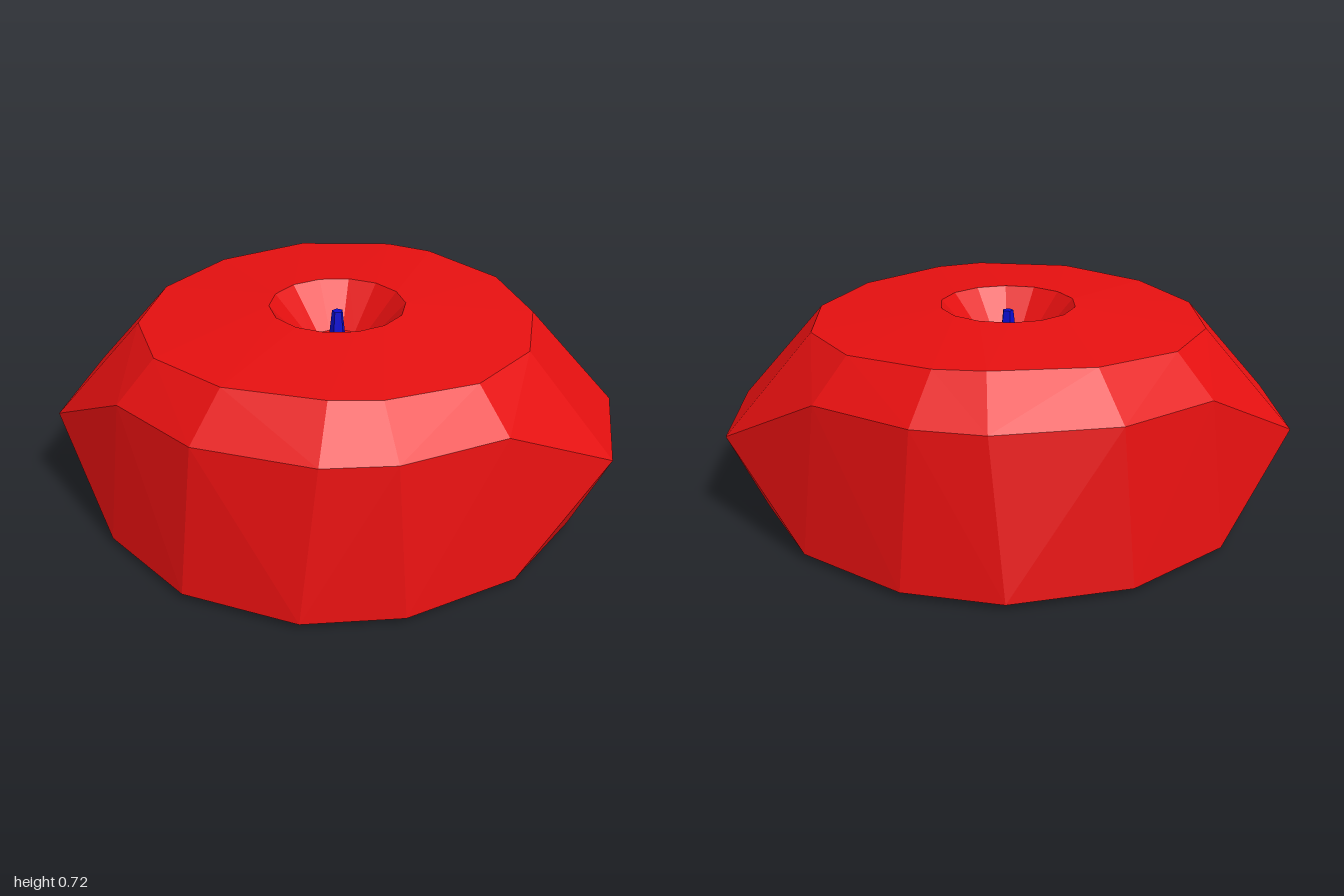
import * as THREE from 'three';

const SIDES = 14;

// Faceted outline mirrored front/back and left/right from four [x, y, z] points
function mirroredRing(pts) {
  const rightFront = pts.slice(1);
  const flip = (list, sx, sz) => list.map(([x, y, z]) => [x * sx, y, z * sz]);
  const reversed = [...rightFront].reverse();
  return [
    pts[0], ...rightFront, ...flip(reversed, 1, -1),
    ...flip([pts[0]], 1, -1), ...flip(rightFront, -1, -1), ...flip(reversed, -1, 1),
  ];
}

function circleRing(r, y) {
  return Array.from({ length: SIDES }, (_, i) => {
    const a = (i / SIDES) * Math.PI * 2;
    return [Math.sin(a) * r, y, Math.cos(a) * r];
  });
}

// Joins successive rings; diagonals are mirrored so the side creases match
function loft(rings) {
  const pos = [];
  for (let k = 0; k < rings.length - 1; k++) {
    const u = rings[k], l = rings[k + 1];
    for (let i = 0; i < SIDES; i++) {
      const j = (i + 1) % SIDES;
      const tris = i % 7 < 3
        ? [l[i], l[j], u[j], l[i], u[j], u[i]]
        : [l[i], l[j], u[i], l[j], u[j], u[i]];
      tris.forEach((p) => pos.push(...p));
    }
  }
  const g = new THREE.BufferGeometry();
  g.setAttribute('position', new THREE.Float32BufferAttribute(pos, 3));
  g.computeVertexNormals();
  return g;
}

export function createModel() {
  const group = new THREE.Group();
  group.name = 'facetedDome';
  const red = new THREE.MeshStandardMaterial({ color: 0xe51010 });
  red.name = 'red';
  const blue = new THREE.MeshStandardMaterial({ color: 0x0a0ad0 });
  blue.name = 'blue';

  // Top with central dimple, shoulder, and flared sides
  const shoulder = mirroredRing([[0.09, 0.7, 0.695], [0.26, 0.695, 0.655], [0.54, 0.68, 0.46], [0.69, 0.67, 0.17]]);
  const waist = mirroredRing([[0.09, 0.55, 0.855], [0.33, 0.55, 0.795], [0.65, 0.54, 0.55], [1, 0.31, 0.235]]);
  const base = mirroredRing([[0.04, 0.02, 0.935], [0.37, 0.02, 0.845], [0.7, 0.02, 0.575], [0.87, 0.02, 0.2]]);
  const foot = base.map(([x, , z]) => [x * 0.95, Math.abs(x) > 0.6 ? 0.01 : 0, z * 0.96]);

  const shell = new THREE.Mesh(loft([
    circleRing(0, 0.55), circleRing(0.11, 0.57), circleRing(0.245, 0.72),
    shoulder, waist, base, foot,
  ]), red);
  shell.name = 'outerShell';
  group.add(shell);

  // Hollow underside
  const hollow = new THREE.Mesh(loft([
    foot,
    foot.map(([x, , z]) => [x * 0.94, 0.36, z * 0.94]),
    circleRing(0.55, 0.46), circleRing(0, 0.5),
  ]), red);
  hollow.name = 'hollowUnderside';
  group.add(hollow);

  // Small tapered knob standing in the dimple
  const knob = new THREE.Mesh(new THREE.CylinderGeometry(0.02, 0.036, 0.145, 5).toNonIndexed(), blue);
  knob.geometry.computeVertexNormals();
  knob.position.y = 0.6225;
  knob.rotation.y = -Math.PI / 2;
  knob.name = 'centreKnob';
  group.add(knob);

  return group;
}
